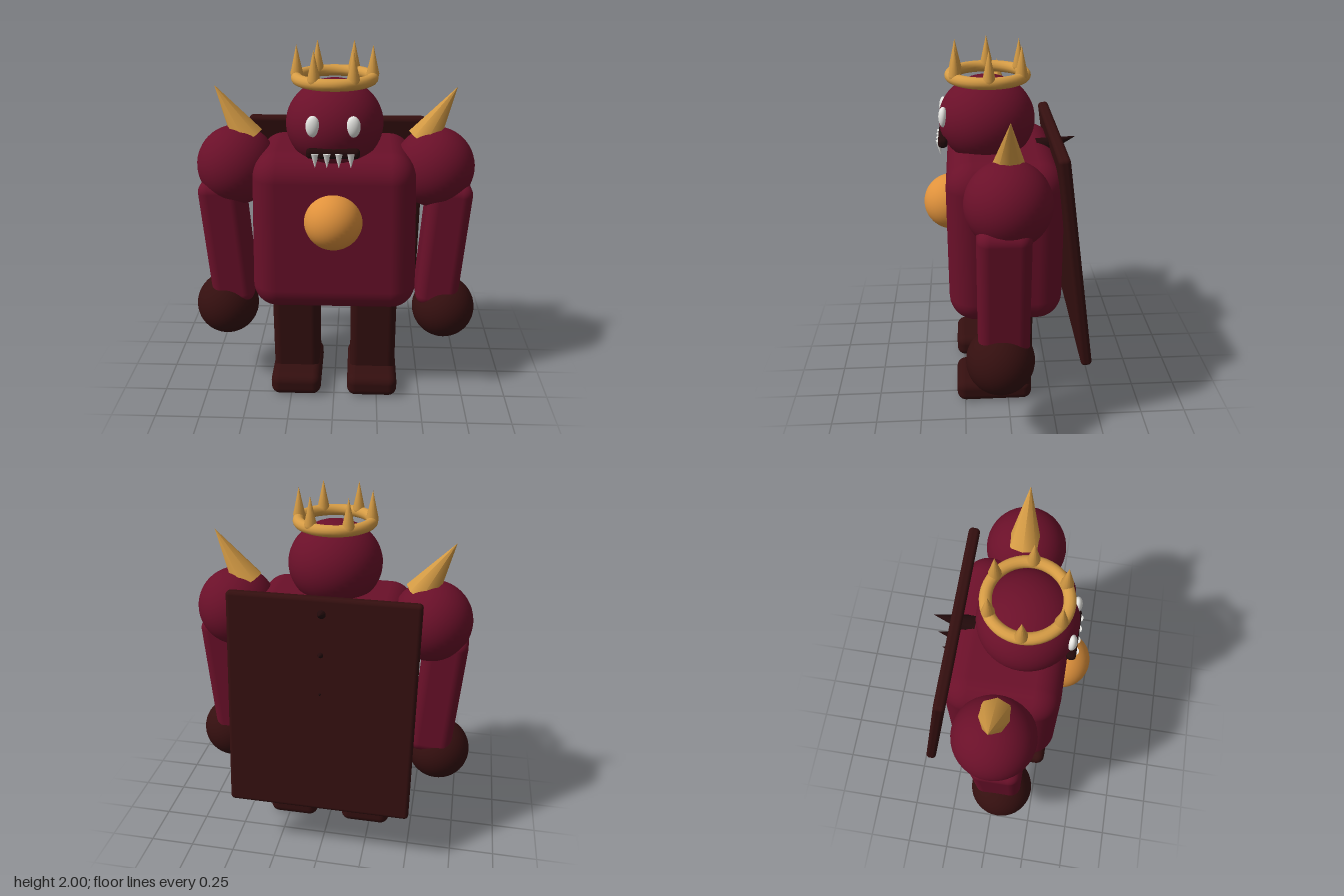
import * as THREE from 'three';
import { RoundedBoxGeometry } from 'three/addons/geometries/RoundedBoxGeometry.js';

const material = (name, color) => {
  const m = new THREE.MeshStandardMaterial({ color });
  m.name = name;
  return m;
};

export function createModel() {
  const model = new THREE.Group();
  model.name = 'crownedBrute';

  const maroon = material('maroon', 0x6a1029);
  const dark = material('dark brown', 0x340f0f);
  const spikeDark = material('near black', 0x220a0b);
  const gold = material('gold', 0xd69c45);
  const amber = material('amber', 0xe0923c);
  const white = material('white', 0xe6e6e2);

  const add = (name, geometry, mat, x, y, z) => {
    const mesh = new THREE.Mesh(geometry, mat);
    mesh.name = name;
    mesh.position.set(x, y, z);
    model.add(mesh);
    return mesh;
  };
  const box = (w, h, d, r) => new RoundedBoxGeometry(w, h, d, 5, r);
  const ball = (r) => new THREE.SphereGeometry(r, 40, 28);

  // Cone standing on one point and ending in another
  const coneBetween = (name, mat, base, tip, radius, sides) => {
    const a = new THREE.Vector3(...base);
    const dir = new THREE.Vector3(...tip).sub(a);
    const length = dir.length();
    const geometry = new THREE.ConeGeometry(radius, length, sides).translate(0, length / 2, 0);
    const mesh = add(name, geometry, mat, ...base);
    mesh.quaternion.setFromUnitVectors(new THREE.Vector3(0, 1, 0), dir.normalize());
    return mesh;
  };

  // Torso, narrowing slightly toward the shoulders
  const torso = box(0.91, 0.9, 0.61, 0.14);
  const p = torso.attributes.position;
  for (let i = 0; i < p.count; i++) {
    p.setX(i, p.getX(i) * (1 - 0.06 * (p.getY(i) + 0.45) / 0.9));
  }
  add('torso', torso, maroon, 0, 1.02, 0.015);
  add('chestOrb', ball(0.155), amber, 0, 1.125, 0.295);

  // Head and face
  add('head', ball(0.255), maroon, 0, 1.6, 0.097).scale.y = 0.91;
  add('mouth', box(0.27, 0.05, 0.05, 0.02), spikeDark, 0, 1.505, 0.332);
  for (let i = 0; i < 4; i++) {
    const x = -0.09 + i * 0.06;
    coneBetween('tooth', white, [x, 1.51, 0.347], [x, 1.432, 0.347], 0.022, 12);
  }

  // Crown ring with six spikes
  add('crownRing', new THREE.TorusGeometry(0.194, 0.03, 14, 48).rotateX(Math.PI / 2), gold, 0, 1.835, 0.09);
  const crownSpike = new THREE.LatheGeometry(
    [[0, -0.02], [0.024, -0.02], [0.033, 0.02], [0, 0.165]].map(([x, y]) => new THREE.Vector2(x, y)), 12);
  for (let i = 0; i < 6; i++) {
    const a = i * Math.PI / 3;
    add('crownSpike', crownSpike, gold, 0.194 * Math.cos(a), 1.835, 0.09 + 0.194 * Math.sin(a));
  }

  // Paired parts
  for (const [side, s] of [['left', 1], ['right', -1]]) {
    add(side + 'Eye', ball(1), white, s * 0.1, 1.64, 0.325).scale.set(0.036, 0.054, 0.025);
    add(side + 'Shoulder', ball(0.218), maroon, s * 0.54, 1.337, 0.015);
    coneBetween(side + 'ShoulderSpike', gold, [s * 0.475, 1.49, 0.012], [s * 0.64, 1.775, 0.012], 0.092, 8);
    add(side + 'Arm', box(0.24, 0.74, 0.265, 0.06), maroon, s * 0.605, 0.905, 0.042).rotation.z = -s * 0.07;
    add(side + 'Hand', ball(0.179), dark, s * 0.631, 0.495, 0.06);
    add(side + 'Leg', box(0.265, 0.54, 0.3, 0.045), dark, s * 0.225, 0.32, 0.015);
    add(side + 'Foot', box(0.29, 0.135, 0.43, 0.05), dark, s * 0.222, 0.0675, 0.08);
  }

  // Slanted back board and the row of spikes piercing it
  add('backBoard', box(1.01, 1.22, 0.06, 0.022), dark, 0, 0.94, -0.338).rotation.x = 0.137;
  for (let i = 0; i < 4; i++) {
    const y = 1.43 - i * 0.225;
    coneBetween('backSpike', spikeDark, [0, y, -0.18], [0, y + 0.062, -0.383], 0.055, 10);
  }

  return model;
}
